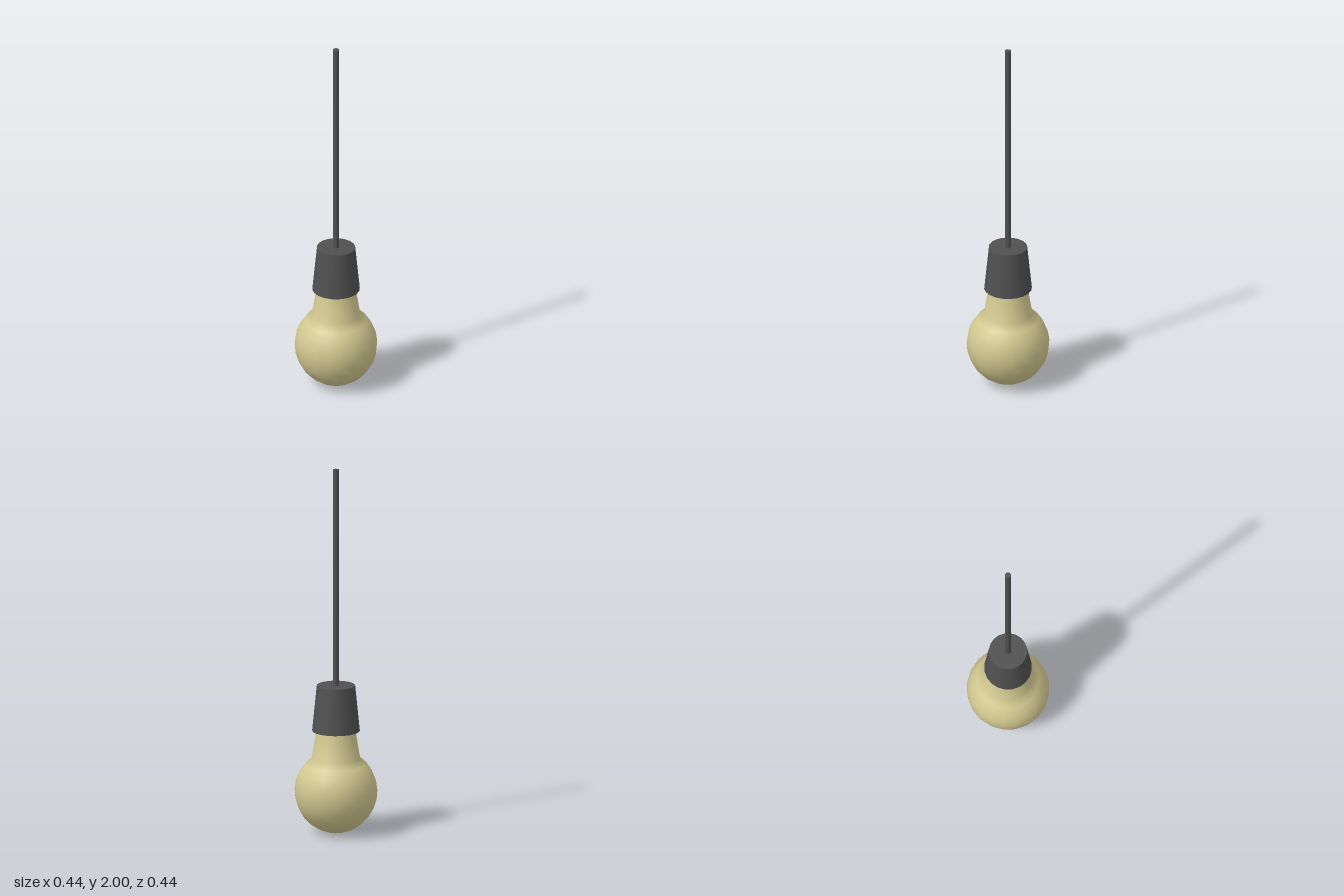
import * as THREE from 'three';

const SIDES = 20;

export function createModel() {
  const model = new THREE.Group();
  const dark = new THREE.MeshStandardMaterial({ color: 0x505050 });
  const glass = new THREE.MeshStandardMaterial({ color: 0xd2c890, side: THREE.DoubleSide });

  const add = (name, geometry, material, y = 0) => {
    const mesh = new THREE.Mesh(geometry, material);
    mesh.name = name;
    mesh.position.y = y;
    model.add(mesh);
  };

  // Bulb: round globe flowing into a tapered neck that ends inside the socket
  const radius = 0.222, centre = 0.23, steps = 11;
  const endAngle = Math.PI - Math.asin(0.13 / radius);
  const profile = [];
  for (let i = 0; i <= steps; i++) {
    const a = (endAngle * i) / steps;
    profile.push(new THREE.Vector2(radius * Math.sin(a), centre - (a < Math.PI / 2 ? centre : radius) * Math.cos(a)));
  }
  profile.push(new THREE.Vector2(0.105, 0.56), new THREE.Vector2(0.095, 0.62));
  add('bulb', new THREE.LatheGeometry(profile, SIDES), glass);

  // Socket: tapered cap over the neck
  add('socket', new THREE.CylinderGeometry(0.103, 0.128, 0.25, SIDES), dark, 0.685);

  // Cord: thin straight cable rising from the socket
  add('cord', new THREE.CylinderGeometry(0.016, 0.016, 1.2, SIDES), dark, 1.4);

  return model;
}
